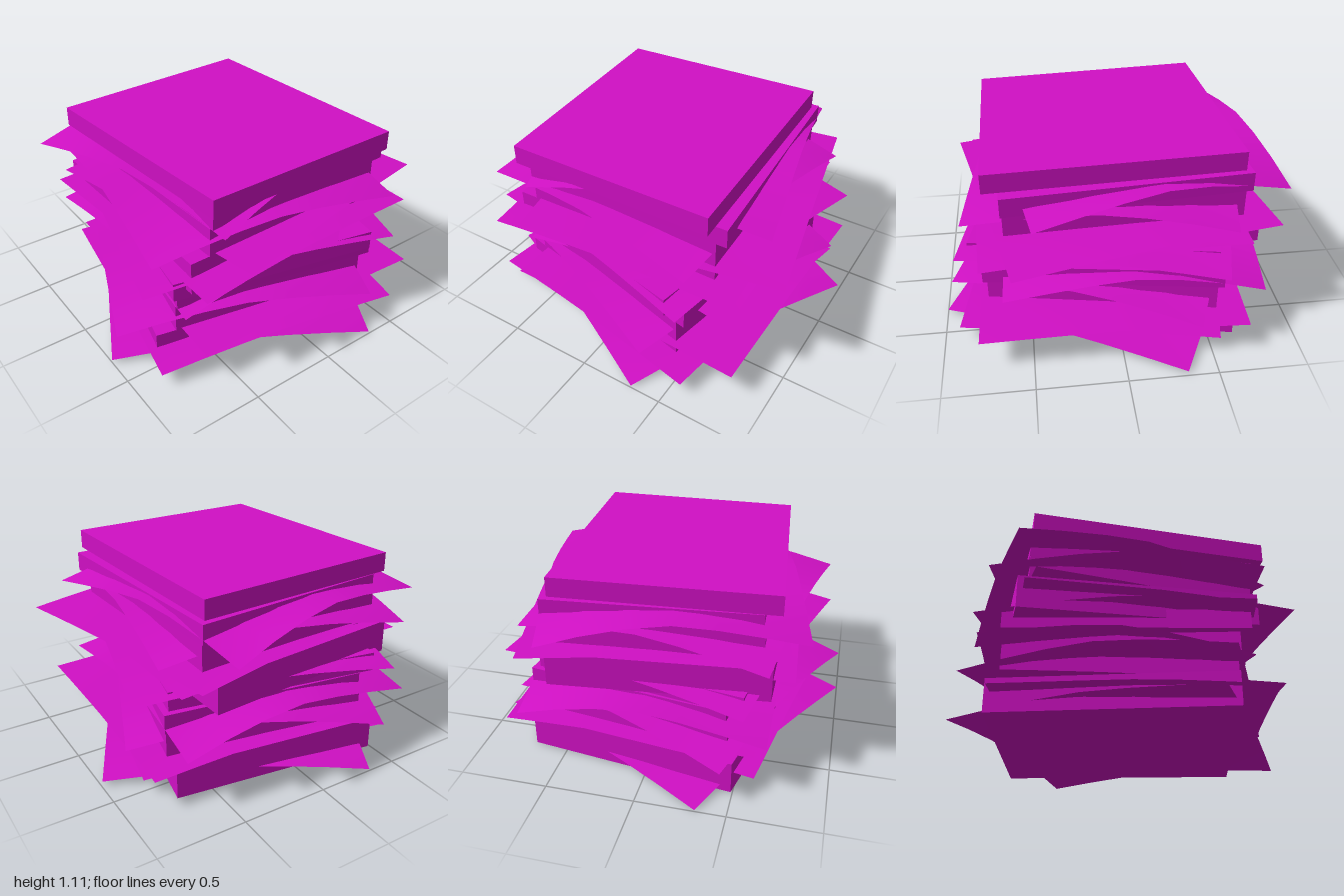
import * as THREE from 'three';

const slabMaterial = new THREE.MeshStandardMaterial({ color: 0xd010c4 });
const sheetMaterial = new THREE.MeshStandardMaterial({ color: 0xd010c4, side: THREE.DoubleSide });

// Corners run front left, front right, back right, back left as [x, z]
const SLABS = [
  { bottom: 0.0, top: 0.19, corners: [[-0.79, 0.47], [0.45, 0.74], [0.70, -0.65], [-0.49, -0.81]] },
  { bottom: 0.19, top: 0.36, corners: [[-0.68, 0.50], [0.45, 0.74], [0.70, -0.54], [-0.45, -0.74]] },
  { bottom: 0.36, top: 0.47, corners: [[-0.68, 0.52], [0.51, 0.76], [0.72, -0.57], [-0.44, -0.74]] },
  { bottom: 0.47, top: 0.58, corners: [[-0.73, 0.57], [0.43, 0.83], [0.68, -0.54], [-0.53, -0.75]] },
];

// Sheets: height in the middle, and [x, y, z] of each drooping corner
const SHEETS = [
  { middle: 0.07, corners: [[-1.0, 0.02, 0.33], [0.32, 0.015, 1.0], [0.99, 0.02, -0.33], [-0.33, 0.01, -1.0]] },
  { middle: 0.125, corners: [[-0.87, 0.09, 0.65], [0.58, 0.10, 0.91], [0.84, 0.10, -0.54], [-0.61, 0.11, -0.80]] },
  { middle: 0.21, corners: [[-0.66, 0.195, 0.76], [0.82, 0.19, 0.79], [0.85, 0.19, -0.70], [-0.60, 0.195, -0.74]] },
  { middle: 0.33, corners: [[-0.99, 0.24, 0.40], [0.35, 0.25, 0.95], [0.88, 0.23, -0.42], [-0.45, 0.24, -0.96]] },
  { middle: 0.46, corners: [[-0.68, 0.34, 0.60], [0.71, 0.37, 0.65], [0.72, 0.32, -0.81], [-0.67, 0.36, -0.86]] },
];

// Flat four-cornered block
function makeSlab({ bottom, top, corners }) {
  const shape = new THREE.Shape(corners.map(([x, z]) => new THREE.Vector2(x, -z)));
  const geometry = new THREE.ExtrudeGeometry(shape, { depth: top - bottom, bevelEnabled: false });
  geometry.rotateX(-Math.PI / 2);
  const mesh = new THREE.Mesh(geometry, slabMaterial);
  mesh.position.y = bottom;
  mesh.name = 'slab';
  return mesh;
}

// Thin sheet stretched between four corners, bending down towards them
function makeSheet({ middle, corners }) {
  const geometry = new THREE.PlaneGeometry(2, 2, 6, 6);
  const pos = geometry.attributes.position;
  for (let i = 0; i < pos.count; i++) {
    const u = pos.getX(i);
    const v = pos.getY(i); // +1 is the back edge
    const weights = [
      (1 - u) * (1 - v) / 4, (1 + u) * (1 - v) / 4,
      (1 + u) * (1 + v) / 4, (1 - u) * (1 + v) / 4,
    ];
    const [x, y, z] = [0, 1, 2].map((k) => weights.reduce((s, w, c) => s + w * corners[c][k], 0));
    const bend = Math.pow(Math.abs(u * v), 1.5);
    pos.setXYZ(i, x, middle + (y - middle) * bend, z);
  }
  geometry.computeVertexNormals();
  const mesh = new THREE.Mesh(geometry, sheetMaterial);
  mesh.name = 'sheet';
  return mesh;
}

function makePile(name) {
  const pile = new THREE.Group();
  pile.name = name;
  SLABS.forEach((slab) => pile.add(makeSlab(slab)));
  SHEETS.forEach((sheet) => pile.add(makeSheet(sheet)));
  return pile;
}

export function createModel() {
  const model = new THREE.Group();
  model.name = 'stack';
  const lower = makePile('lowerPile');
  // The same pile again, turned and set on top
  const upper = makePile('upperPile');
  upper.position.y = 0.53;
  upper.rotation.y = 0.23;
  model.add(lower, upper);
  return model;
}
